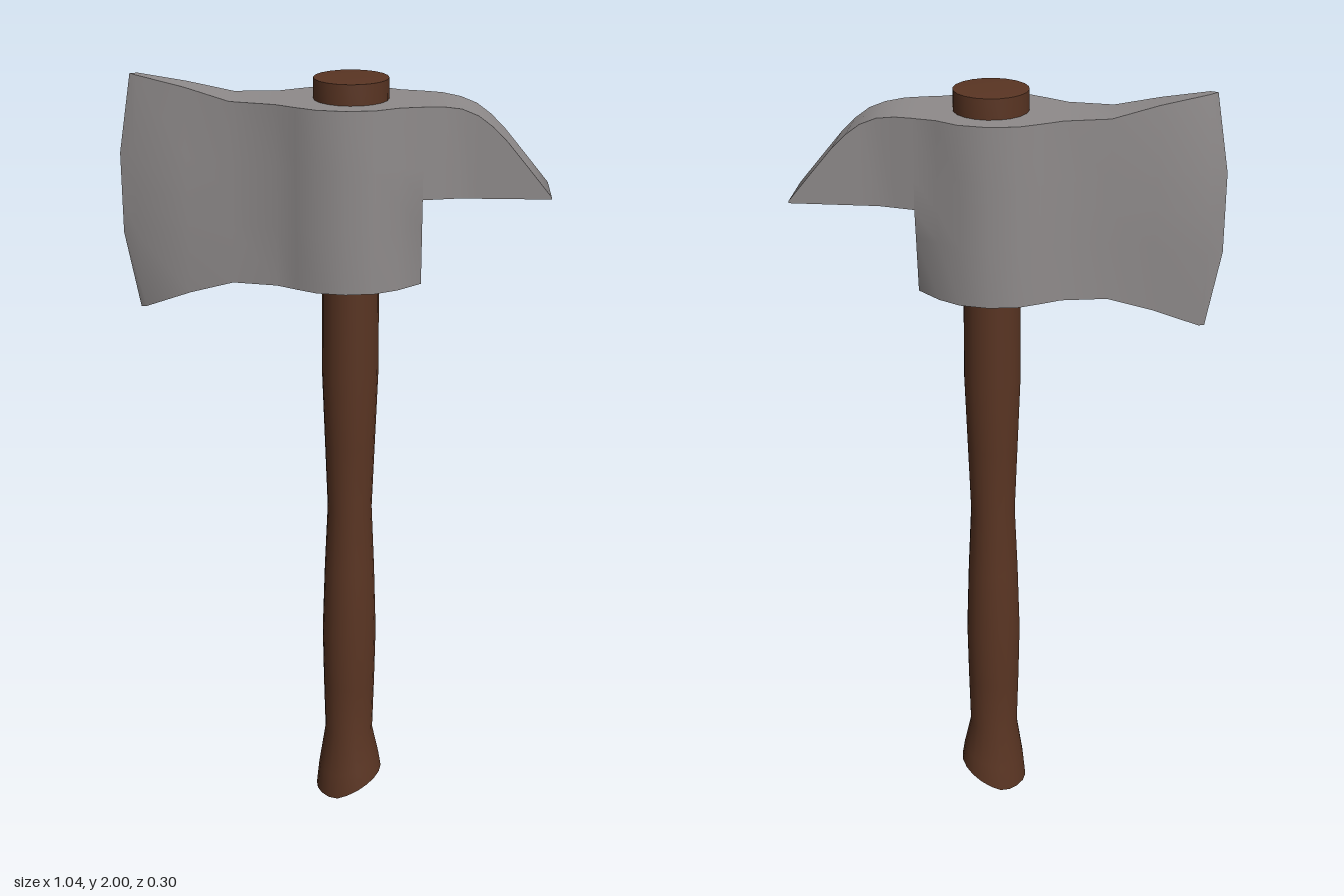
import * as THREE from 'three';
import { toCreasedNormals } from 'three/addons/utils/BufferGeometryUtils.js';

const CX = 0.037; // handle axis

// Skin a list of closed rings (equal point counts, running along +x) and cap both ends.
function loft(rings, crease) {
  const n = rings[0].length;
  const index = [];
  for (let i = 0; i < rings.length - 1; i++) {
    for (let j = 0; j < n; j++) {
      const a = i * n + j, b = i * n + (j + 1) % n;
      index.push(a, a + n, b, b, a + n, b + n);
    }
  }
  const last = (rings.length - 1) * n;
  for (let j = 1; j < n - 1; j++) {
    index.push(0, j, j + 1);
    index.push(last, last + j + 1, last + j);
  }
  const geo = new THREE.BufferGeometry();
  geo.setAttribute('position', new THREE.Float32BufferAttribute(rings.flat(2), 3));
  geo.setIndex(index);
  return toCreasedNormals(geo, crease);
}

// Mirrored ring: front side going up, back side coming down.
function ring(rows) {
  const back = rows.map(([x, y, z]) => [x, y, -z]).reverse();
  return [...rows, ...back];
}

function createHead(steel) {
  const head = new THREE.Group();
  head.name = 'axeHead';

  // Body stations: x, half thickness, bottom, top
  const stations = [
    [-0.25, 0.06, 1.5, 1.947], [-0.14, 0.08, 1.5, 1.945],
    [-0.09, 0.11, 1.5, 1.945], [-0.04, 0.137, 1.5, 1.945],
    [0.03, 0.148, 1.5, 1.945], [0.1, 0.137, 1.5, 1.945],
    [0.155, 0.105, 1.5, 1.945],
  ];
  const levels = [0, 0.33, 0.5, 0.67, 1];
  const rings = [];
  const addStation = (bottom, top, xs, zs) => rings.push(ring(
    levels.map((f, k) => [xs[k], bottom + (top - bottom) * f, zs[k]])));

  // Sharpened edge, bevel and flared cheek
  addStation(1.415, 2.0, [-0.49, -0.525, -0.525, -0.525, -0.493], [0, 0, 0, 0, 0]);
  addStation(1.42, 1.998, [-0.475, -0.488, -0.488, -0.488, -0.475], [0.014, 0.026, 0.026, 0.026, 0.014]);
  addStation(1.465, 1.975, Array(5).fill(-0.36), [0.036, 0.043, 0.043, 0.043, 0.036]);
  for (const [x, z, bottom, top] of stations) {
    addStation(bottom, top, Array(5).fill(x), Array(5).fill(z));
  }
  // Poll narrows towards its lower end
  addStation(1.5, 1.945, Array(5).fill(0.212), [0.05, 0.077, 0.092, 0.092, 0.092]);
  const body = new THREE.Mesh(loft(rings, 0.7), steel);
  body.name = 'bladeAndEye';
  head.add(body);

  // Pick: x, half thickness, top; flat underneath
  const pickRings = [
    [0.17, 0.1, 1.944], [0.212, 0.0915, 1.945], [0.255, 0.082, 1.944], [0.3, 0.072, 1.937],
    [0.34, 0.072, 1.921], [0.375, 0.072, 1.895], [0.41, 0.072, 1.86],
    [0.46, 0.072, 1.8], [0.52, 0.072, 1.727],
  ].map(([x, z, top]) => ring([[x, 1.722, z], [x, top, z]]));
  const pick = new THREE.Mesh(loft(pickRings, 0.7), steel);
  pick.name = 'pick';
  head.add(pick);
  return head;
}

function createHandle(wood) {
  const profile = [
    [0, 0], [0.05, 0], [0.09, 0], [0.083, 0.07], [0.065, 0.19], [0.069, 0.34], [0.072, 0.5],
    [0.066, 0.69], [0.058, 0.87], [0.065, 1.06], [0.072, 1.25], [0.071, 1.5],
    [0.08, 1.7], [0.091, 1.93], [0.091, 1.995], [0, 2],
  ].map(([r, y]) => new THREE.Vector2(r, y));
  const geo = new THREE.LatheGeometry(profile, 20);

  // Cut the butt at a slant, fading out up the grip
  const p = geo.attributes.position;
  for (let i = 0; i < p.count; i++) {
    const y = p.getY(i);
    if (y < 0.19) {
      const lift = 0.062 * THREE.MathUtils.clamp((p.getX(i) + 0.035) / 0.125, 0, 1);
      p.setY(i, y + lift * (1 - y / 0.19));
    }
  }
  const handle = new THREE.Mesh(toCreasedNormals(geo, 0.7), wood);
  handle.name = 'handle';
  handle.position.x = CX;
  return handle;
}

export function createModel() {
  const steel = new THREE.MeshStandardMaterial({ color: 0x8f8b8b });
  steel.name = 'steel';
  const wood = new THREE.MeshStandardMaterial({ color: 0x5a3523 });
  wood.name = 'wood';

  const model = new THREE.Group();
  model.name = 'axe';
  model.add(createHandle(wood), createHead(steel));
  return model;
}
